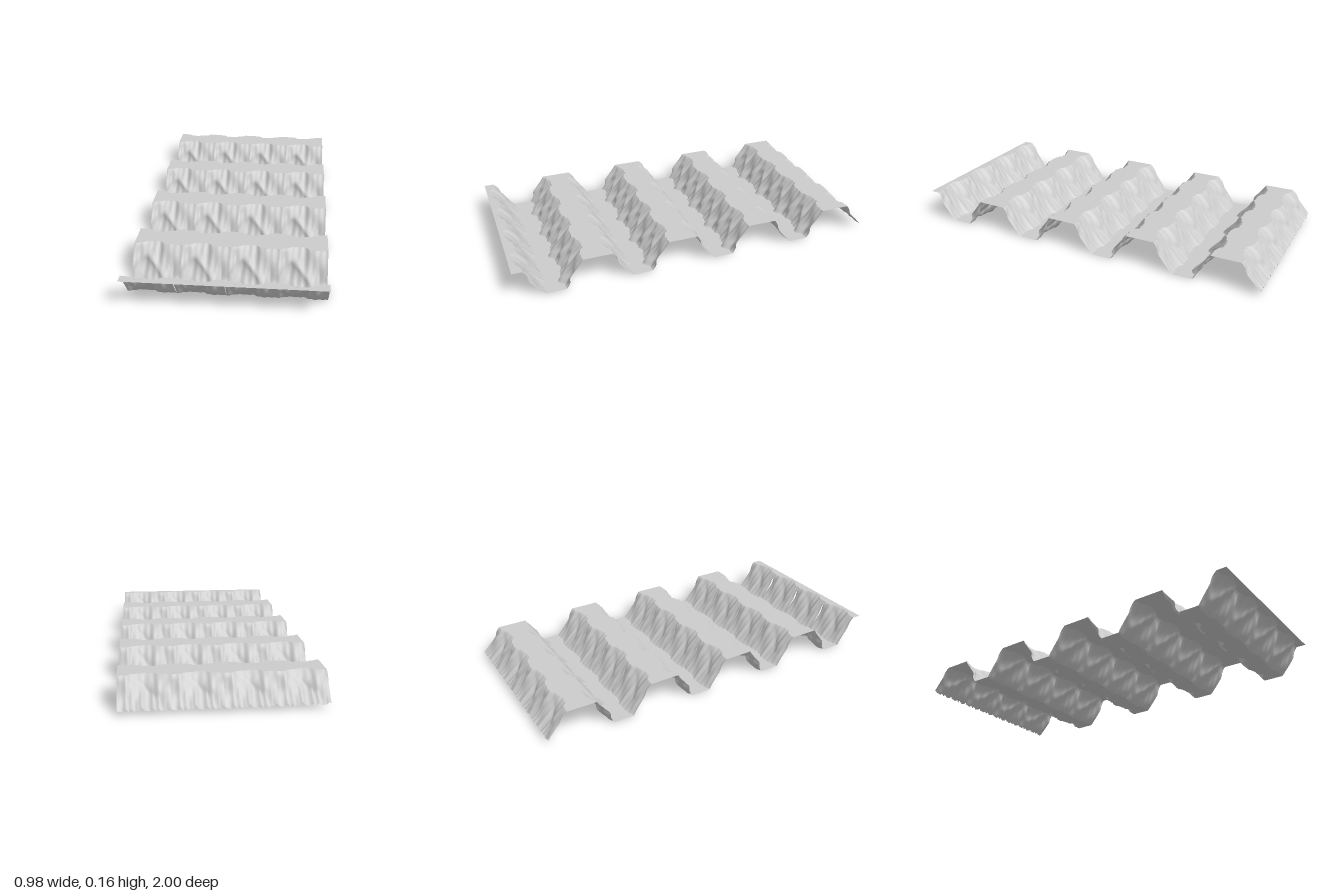
import * as THREE from 'three';

const H = 0.155;        // height of the plateaus
const PITCH = 0.461;    // distance between ridges
const TILES = 4, TILE = 0.245, X0 = -0.49;
const TAU = Math.PI * 2;

const material = new THREE.MeshStandardMaterial({ color: 0xcccccc, side: THREE.DoubleSide });

// Periodic smooth interpolation of a few samples along one tile
function wave(samples, u) {
  const n = samples.length, p = u * n, i = Math.floor(p), f = p - i;
  const s = f * f * (3 - 2 * f);
  return samples[i % n] * (1 - s) + samples[(i + 1) % n] * s;
}

// Wavy edge outlines, as z offsets from the middle of each slope
const jag = u => 0.005 * Math.sin(TAU * 3 * u + 1) + 0.004 * Math.sin(TAU * 7 * u);
const risingFoot = u => wave([0.045, 0.035, 0.045, 0.055, 0.075, 0.05], u) + jag(u) * 0.6;
const risingLip = u => -wave([0.045, 0.055, 0.075, 0.07, 0.052, 0.042], u) + jag(u) * 0.6;
const fallingLip = u => wave([0.05, 0.06, 0.078, 0.085, 0.07, 0.055], u) + jag(u) * 0.6;
const fallingFoot = u => -wave([0.055, 0.06, 0.07, 0.065, 0.055, 0.05], u) + jag(u) * 0.6;

// Grid over one tile; point(u, v) gives [z, y], v runs from front to back
function patch(name, tile, nu, nv, point) {
  const pos = [], index = [];
  for (let j = 0; j <= nv; j++) {
    for (let i = 0; i <= nu; i++) {
      const u = i / nu, [z, y] = point(u, j / nv);
      pos.push(X0 + (tile + u) * TILE, y, z);
    }
  }
  const row = nu + 1;
  for (let j = 0; j < nv; j++) {
    for (let i = 0; i < nu; i++) {
      const a = j * row + i;
      index.push(a, a + 1, a + row, a + 1, a + row + 1, a + row);
    }
  }
  const geometry = new THREE.BufferGeometry();
  geometry.setAttribute('position', new THREE.Float32BufferAttribute(pos, 3));
  geometry.setIndex(index);
  geometry.computeVertexNormals();
  const mesh = new THREE.Mesh(geometry, material);
  mesh.name = name;
  return mesh;
}

// Rocky relief that fades out at the foot and the lip
function relief(u, v) {
  const ridge = Math.exp(-(((v - 0.4 - 0.25 * Math.sin(TAU * u)) / 0.12) ** 2));
  return Math.sin(Math.PI * v) * (0.01 * ridge
    + 0.006 * Math.sin(TAU * (2 * u + 0.7 * v))
    + 0.004 * Math.sin(TAU * (5 * u - 1.3 * v)));
}

const lerp = THREE.MathUtils.lerp;
const ease = t => lerp(t, t * t * (3 - 2 * t), 0.35);

export function createModel() {
  const group = new THREE.Group();
  group.name = 'ridgedTerrain';
  const parts = {};
  for (const name of ['plateaus', 'floors', 'risingSlopes', 'fallingSlopes']) {
    parts[name] = new THREE.Group();
    parts[name].name = name;
    group.add(parts[name]);
  }

  for (let k = 0; k <= 4; k++) {
    const fall = 0.896 - PITCH * k, rise = 0.69 - PITCH * k;
    const last = k === 4;
    for (let t = 0; t < TILES; t++) {
      // Plateau between the slope in front and the slope behind
      parts.plateaus.add(patch('plateau', t, 28, 1, (u, v) => {
        const front = k === 0 ? 1 : rise + PITCH + risingLip(u);
        return [lerp(front, fall + fallingLip(u), v), H];
      }));

      // Slope descending to the back, with small slits between tiles
      parts.fallingSlopes.add(patch('fallingSlope', t, 28, 16, (u, v) => {
        const foot = last ? -1 : fall + fallingFoot(u);
        const low = last ? 0.015 + 2 * Math.abs(jag(u)) : 0;
        const slit = 0.012 * (u - 0.5) * Math.sin(Math.PI * v);
        return [
          Math.max(-1, lerp(fall + fallingLip(u), foot, v) + 0.6 * relief(u, v) + slit),
          lerp(H, low, ease(v)),
        ];
      }));
      if (last) continue;

      // Valley floor
      parts.floors.add(patch('floor', t, 28, 1, (u, v) =>
        [lerp(fall + fallingFoot(u), rise + risingFoot(u), v), 0]));

      // Slope climbing to the back, with a bulging rock face
      parts.risingSlopes.add(patch('risingSlope', t, 28, 16, (u, v) =>
        [lerp(rise + risingFoot(u), rise + risingLip(u), v) + relief(u, v), H * ease(v)]));
    }
  }
  return group;
}
